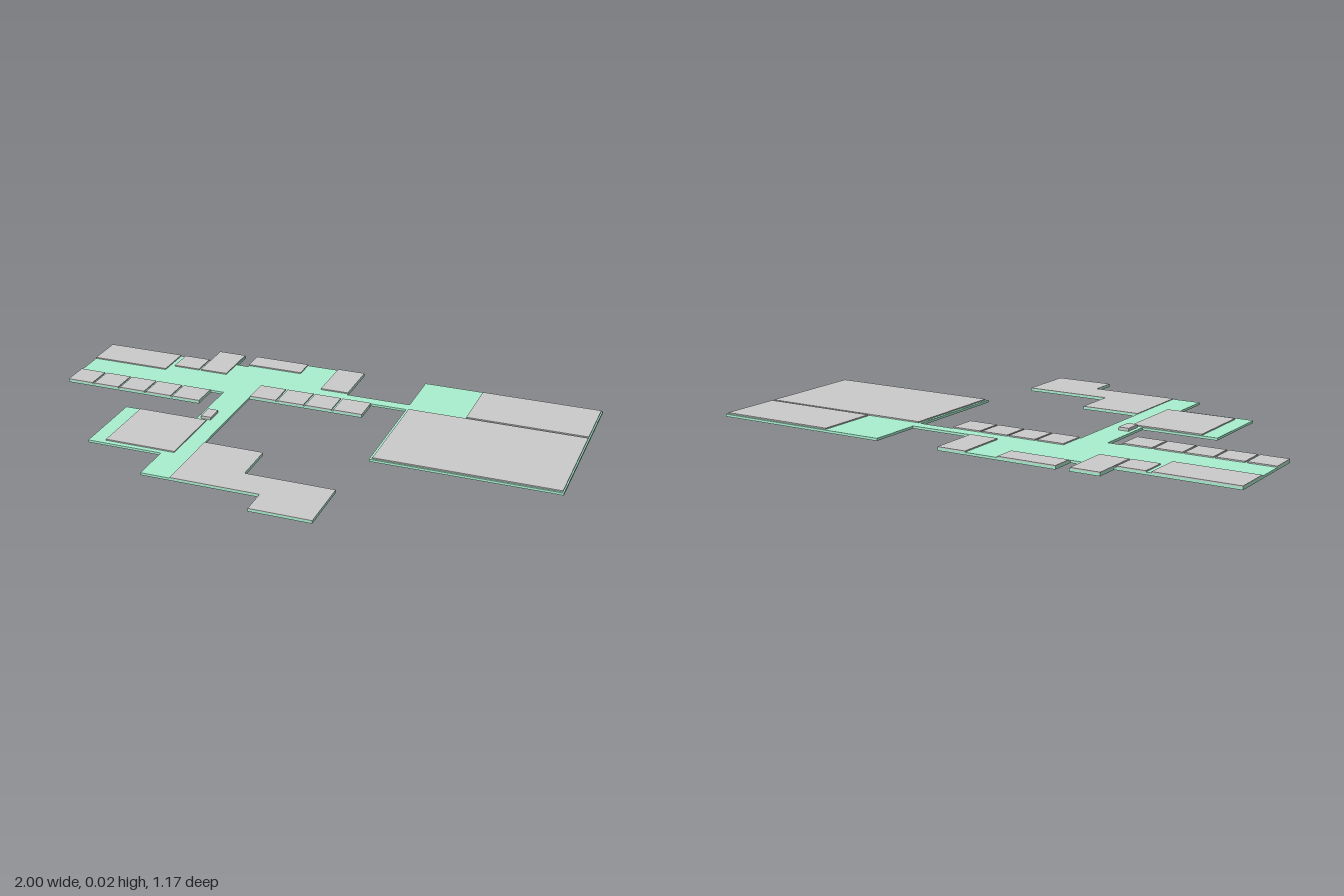
import * as THREE from 'three';

const BASE = 0.009, TOP = 0.0135;
const green = new THREE.MeshStandardMaterial({ color: 0xa9f0d0 });
const grey = new THREE.MeshStandardMaterial({ color: 0xcccccc });

export function createModel() {
  const group = new THREE.Group();

  // Flat plate from an outline of [x, z] corners
  function plate(name, points, y0, y1, material) {
    const shape = new THREE.Shape(points.map(([x, z]) => new THREE.Vector2(x, -z)));
    const geometry = new THREE.ExtrudeGeometry(shape, { depth: y1 - y0, bevelEnabled: false });
    geometry.rotateX(-Math.PI / 2);
    const mesh = new THREE.Mesh(geometry, material);
    mesh.position.y = y0;
    mesh.name = name;
    group.add(mesh);
  }

  // Low rectangular block standing on the floor
  function block(name, x0, x1, z0, z1, y1 = TOP) {
    const mesh = new THREE.Mesh(new THREE.BoxGeometry(x1 - x0, y1 - BASE, z1 - z0), grey);
    mesh.position.set((x0 + x1) / 2, (BASE + y1) / 2, (z0 + z1) / 2);
    mesh.name = name;
    group.add(mesh);
  }

  // Row of equal blocks with narrow gaps
  function row(name, x0, pitch, count, z0, z1) {
    for (let i = 0; i < count; i++) {
      const x = x0 + i * pitch;
      block(name + (i + 1), x, x + pitch - (i < count - 1 ? 0.008 : 0), z0, z1);
    }
  }

  // Floor with corridors
  plate('floor', [
    [-1, -0.49], [-0.557, -0.49], [-0.557, -0.58], [-0.445, -0.58], [-0.445, -0.49],
    [-0.397, -0.49], [-0.397, -0.585], [0.06, -0.585], [0.06, -0.38], [0.31, -0.38],
    [0.31, -0.588], [1, -0.588], [1, 0.1], [0.31, 0.1], [0.31, -0.335],
    [0.172, -0.335], [0.172, -0.225], [-0.28, -0.225], [-0.28, 0.19], [-0.053, 0.19],
    [-0.053, 0.358], [0.28, 0.358], [0.28, 0.583], [0.053, 0.583], [0.053, 0.48],
    [-0.39, 0.48], [-0.39, 0.32], [-0.678, 0.32], [-0.678, 0.02], [-0.39, 0.02],
    [-0.39, -0.23], [-0.443, -0.23], [-0.443, -0.12], [-1, -0.12],
  ], 0, BASE, green);

  // Rooms along the back
  block('backLeftHall', -1, -0.69, -0.49, -0.345);
  block('backSmallRoom', -0.67, -0.565, -0.49, -0.388);
  block('backTallRoom', -0.557, -0.447, -0.58, -0.388);
  block('backWideRoom', -0.397, -0.177, -0.585, -0.5);
  block('backCornerRoom', -0.05, 0.06, -0.585, -0.388);

  // Large halls
  block('upperLargeHall', 0.54, 0.995, -0.58, -0.343);
  block('lowerLargeHall', 0.32, 0.995, -0.333, 0.093);

  // Rows of small rooms
  row('westRoom', -1, 0.1114, 5, -0.225, -0.12);
  row('eastRoom', -0.277, 0.1122, 4, -0.333, -0.225);

  // Front rooms and the small raised box in the corridor
  block('frontSquareRoom', -0.617, -0.347, 0.025, 0.3);
  block('corridorBox', -0.375, -0.335, -0.055, 0.012, 0.02);
  plate('steppedRoom', [
    [-0.28, 0.19], [-0.053, 0.19], [-0.053, 0.358], [0.28, 0.358],
    [0.28, 0.583], [0.053, 0.583], [0.053, 0.48], [-0.28, 0.48],
  ], BASE, 0.0115, grey);

  return group;
}
